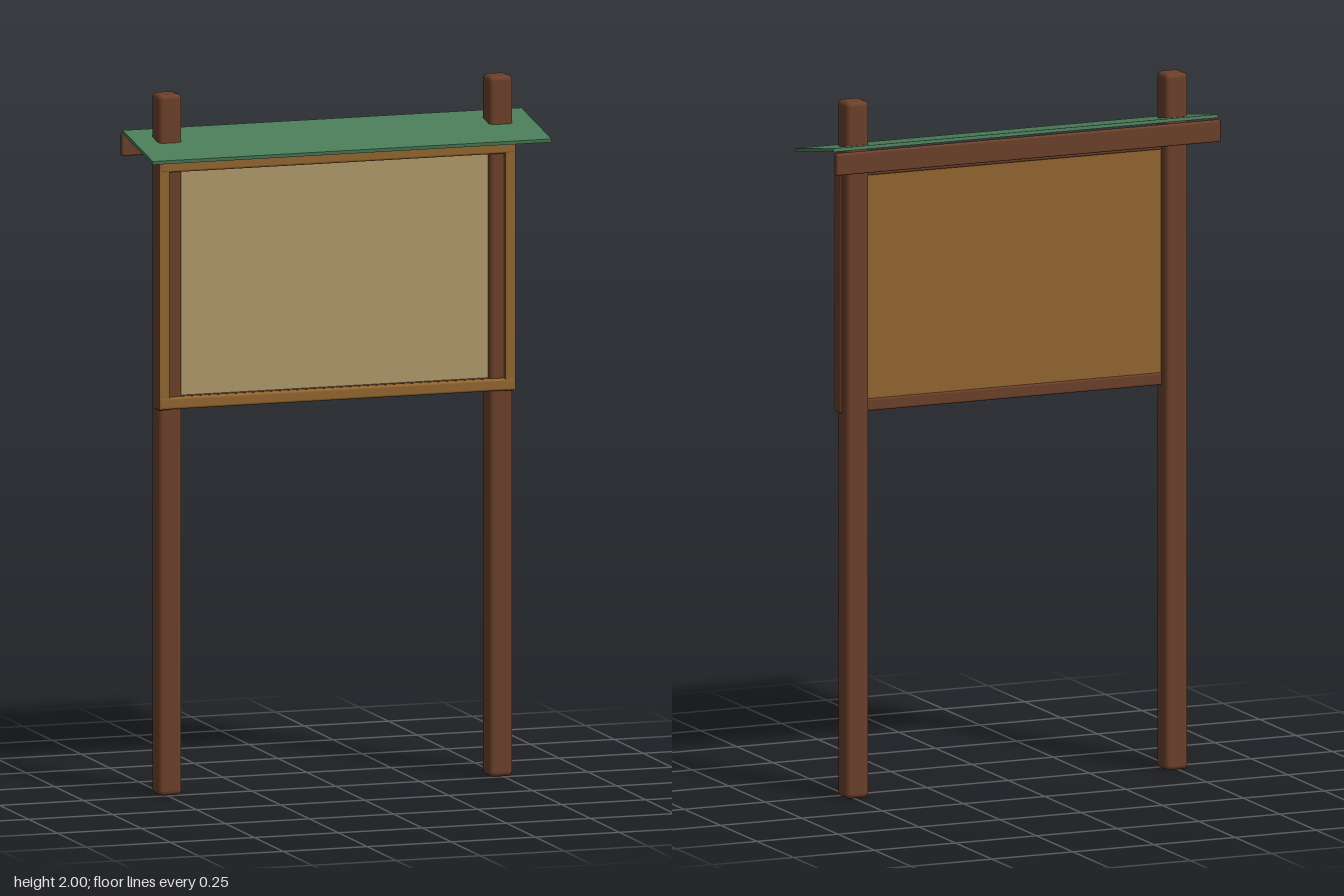
import * as THREE from 'three';
import { RoundedBoxGeometry } from 'three/addons/geometries/RoundedBoxGeometry.js';

const material = (name, color) => {
  const m = new THREE.MeshStandardMaterial({ color });
  m.name = name;
  return m;
};

export function createModel() {
  const group = new THREE.Group();
  const darkWood = material('dark wood', 0x6b402a);
  const lightWood = material('light wood', 0x91642f);
  const cork = material('cork', 0xad986a);
  const green = material('green roof', 0x4a7c59);

  // Box given by its minimum and maximum corners; r rounds the edges
  const block = (name, mat, [x0, y0, z0], [x1, y1, z1], r = 0) => {
    const size = [x1 - x0, y1 - y0, z1 - z0];
    const geo = r ? new RoundedBoxGeometry(...size, 2, r) : new THREE.BoxGeometry(...size);
    const mesh = new THREE.Mesh(geo, mat);
    mesh.name = name;
    mesh.position.set((x0 + x1) / 2, (y0 + y1) / 2, (z0 + z1) / 2);
    group.add(mesh);
    return mesh;
  };

  // Posts and upright frame members, mirrored
  for (const [side, s] of [['left', 1], ['right', -1]]) {
    const upright = (name, mat, a, b, y0, y1, z0, z1, r) =>
      block(side + name, mat, [Math.min(s * a, s * b), y0, z0], [Math.max(s * a, s * b), y1, z1], r);
    upright('Post', darkWood, 0.457, 0.527, 0, 2, -0.066, 0.004, 0.014);
    upright('FrameCore', darkWood, 0.499, 0.531, 1.102, 1.814, -0.03, 0.012, 0.004);
    upright('FrameTrim', lightWood, 0.499, 0.53, 1.104, 1.812, 0.008, 0.017, 0.003);
  }

  // Horizontal rails: light front, dark backing
  for (const [name, y0, y1] of [['bottom', 1.104, 1.138], ['top', 1.78, 1.814]]) {
    block(name + 'Rail', lightWood, [-0.53, y0, -0.01], [0.53, y1, 0.018], 0.007);
    block(name + 'RailBacking', darkWood, [-0.5, y0 - 0.001, -0.034], [0.5, y1 + 0.001, -0.008], 0.006);
  }

  // Notice panel: cork front on a wooden back
  block('panelBack', lightWood, [-0.465, 1.125, -0.03], [0.465, 1.795, -0.02]);
  block('corkPanel', cork, [-0.465, 1.125, -0.02], [0.465, 1.795, -0.013]);

  // Sloping roof, lower at the front, with a board along its back edge
  const roof = block('roof', green, [-0.593, 1.851, -0.122], [0.593, 1.861, 0.144]);
  roof.rotation.x = 0.18;
  block('backBoard', darkWood, [-0.593, 1.81, -0.143], [0.593, 1.872, -0.123], 0.005);

  return group;
}
